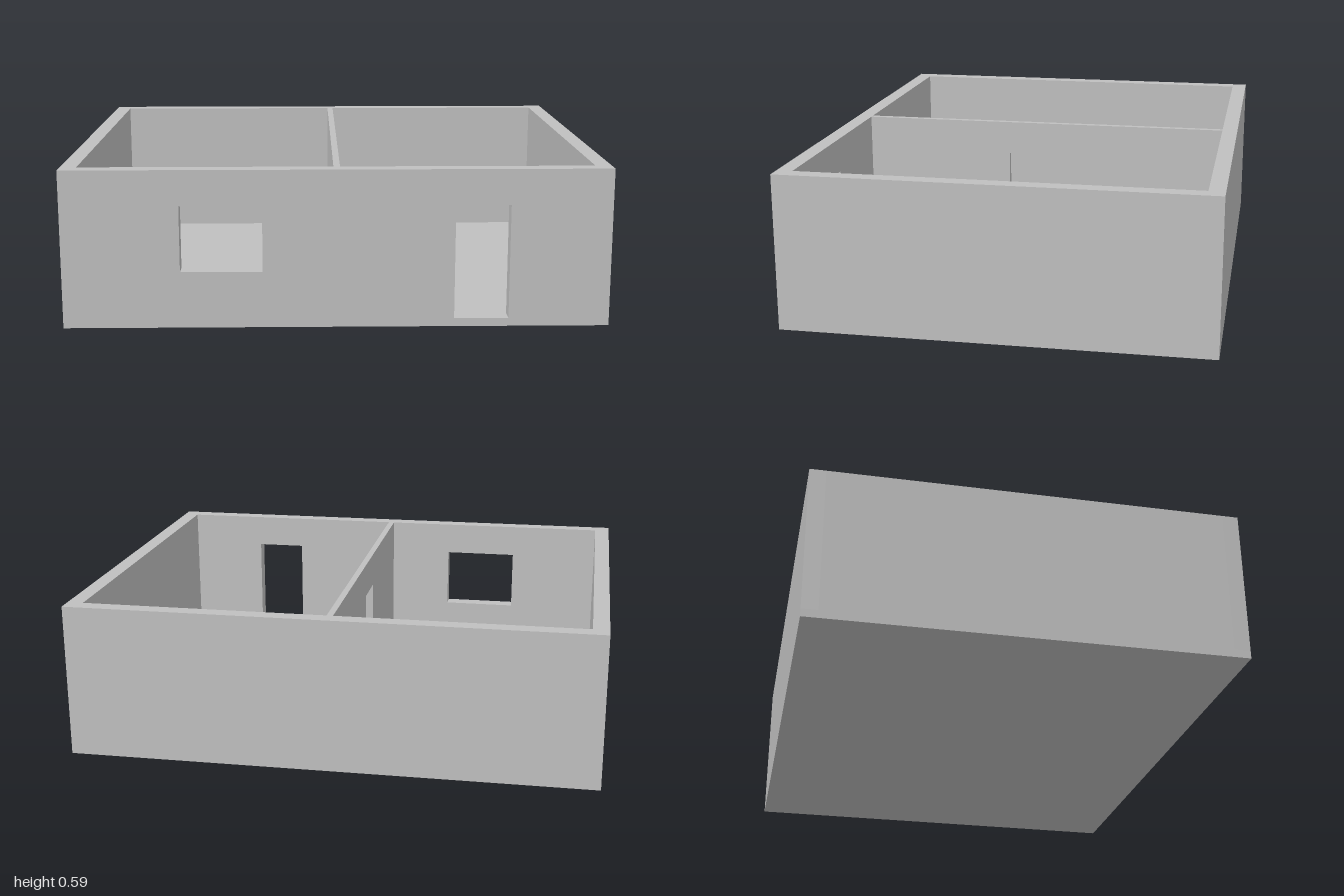
import * as THREE from 'three';

const W = 1, D = 0.8, H = 0.587;        // half width, half depth, height
const T = 0.06, FLOOR = 0.03;           // outer wall thickness, floor slab
const PART = 0.024;                     // partition thickness
const HEAD = 0.455;                     // top of doors and window

// Upright wall outline with an optional doorway notch [from, to]
function wallShape(half, door) {
  const s = new THREE.Shape();
  s.moveTo(-half, FLOOR);
  if (door) {
    s.lineTo(door[0], FLOOR);
    s.lineTo(door[0], HEAD);
    s.lineTo(door[1], HEAD);
    s.lineTo(door[1], FLOOR);
  }
  s.lineTo(half, FLOOR);
  s.lineTo(half, H);
  s.lineTo(-half, H);
  s.closePath();
  return s;
}

export function createModel() {
  const group = new THREE.Group();
  const plaster = new THREE.MeshStandardMaterial({ color: 0xc0c0c0 });
  plaster.name = 'grey plaster';

  const add = (name, geometry) => {
    const mesh = new THREE.Mesh(geometry, plaster);
    mesh.name = name;
    group.add(mesh);
    return mesh;
  };
  // Extrusion centred on its own thickness
  const slab = (shape, depth) =>
    new THREE.ExtrudeGeometry(shape, { depth, bevelEnabled: false }).translate(0, 0, -depth / 2);

  // Floor
  add('floor', new THREE.BoxGeometry(2 * W, FLOOR, 2 * D)).position.y = FLOOR / 2;

  // Front wall with entrance door and window
  const front = wallShape(W, [0.43, 0.63]);
  const hole = new THREE.Path();
  hole.moveTo(-0.57, 0.21);
  hole.lineTo(-0.57, HEAD);
  hole.lineTo(-0.27, HEAD);
  hole.lineTo(-0.27, 0.21);
  hole.closePath();
  front.holes.push(hole);
  add('frontWall', slab(front, T)).position.z = D - T / 2;

  // Plain back and side walls
  add('backWall', slab(wallShape(W), T)).position.z = -D + T / 2;
  for (const side of [-1, 1]) {
    const wall = add(side > 0 ? 'leftWall' : 'rightWall', slab(wallShape(D - T), T));
    wall.rotation.y = Math.PI / 2;
    wall.position.x = side * (W - T / 2);
  }

  // Partition with inner doorway; its outline runs along -z after turning
  const partition = add('partition', slab(wallShape(D - T, [-0.14, 0.04]), PART));
  partition.rotation.y = Math.PI / 2;

  return group;
}
